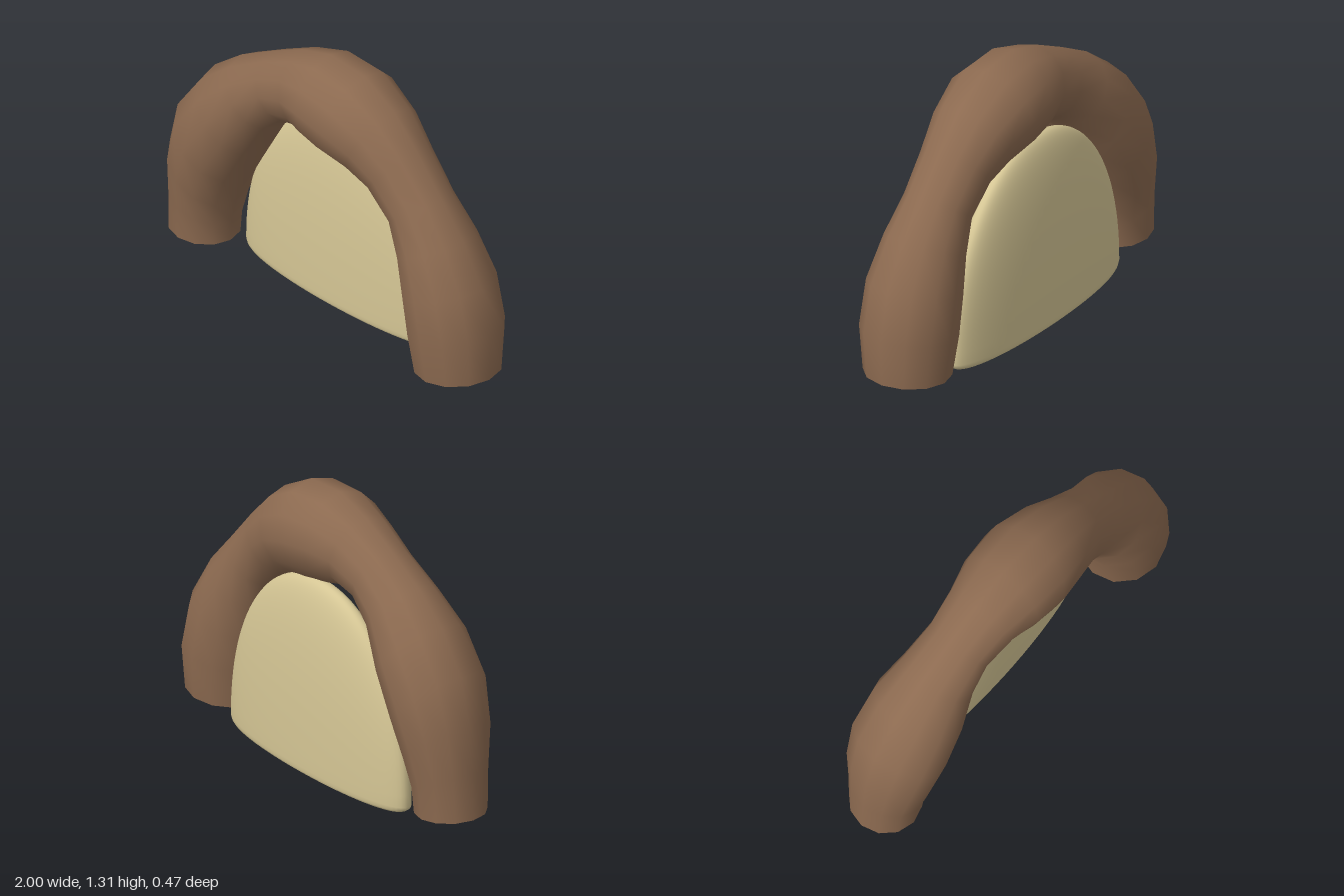
import * as THREE from 'three';
import { mergeVertices } from 'three/addons/utils/BufferGeometryUtils.js';

// Outer and inner edge points of each ring along the arch: [outerX, outerY, innerX, innerY]
const RINGS = [
  [-1.0, 0.06, -0.67, 0.04], [-0.99, 0.28, -0.665, 0.14], [-0.97, 0.51, -0.64, 0.25],
  [-0.91, 0.73, -0.57, 0.41], [-0.77, 0.92, -0.46, 0.6], [-0.6, 1.05, -0.36, 0.78],
  [-0.4, 1.16, -0.26, 0.87], [-0.22, 1.25, -0.13, 0.9], [-0.03, 1.31, -0.04, 0.875],
  [0.19, 1.295, 0.05, 0.855], [0.38, 1.19, 0.2, 0.83], [0.53, 1.04, 0.3, 0.79],
  [0.68, 0.87, 0.42, 0.68], [0.82, 0.71, 0.48, 0.54], [0.94, 0.51, 0.52, 0.38],
  [0.995, 0.28, 0.55, 0.22], [0.985, 0.06, 0.585, 0.03],
];

// Open-ended tube of swelling, twelve-sided rings
function archGeometry() {
  const sides = 12, pos = [], idx = [];
  for (const [ox, oy, ix, iy] of RINGS) {
    const r = Math.hypot(ox - ix, oy - iy) / 2;
    for (let j = 0; j < sides; j++) {
      const a = (j / sides) * Math.PI * 2, c = Math.cos(a) / 2;
      pos.push((ox + ix) / 2 + (ox - ix) * c, (oy + iy) / 2 + (oy - iy) * c, r * Math.sin(a));
    }
  }
  for (let i = 0; i < RINGS.length - 1; i++) {
    for (let j = 0; j < sides; j++) {
      const k = (j + 1) % sides;
      const a = i * sides + j, b = i * sides + k, c = a + sides, d = b + sides;
      idx.push(a, b, c, b, d, c);
    }
  }
  const g = new THREE.BufferGeometry();
  g.setAttribute('position', new THREE.Float32BufferAttribute(pos, 3));
  g.setIndex(idx);
  g.computeVertexNormals();
  return g;
}

// Half-dome plate: a lathed dome flattened front to back, with a softly rounded base rim
function panelGeometry() {
  const w = 0.635, h = 0.91, depth = 0.125, steps = 28;
  const profile = [[0, 0], [w - 0.04, 0], [w - 0.022, 0.002], [w - 0.008, 0.012], [w, 0.03]];
  for (let i = 1; i <= steps; i++) {
    const t = (i / steps) * Math.PI / 2;
    const r = i === steps ? 0 : Math.pow(Math.cos(t), 0.95);
    profile.push([w * r, 0.03 + (h - 0.03) * Math.pow(Math.sin(t), 0.95)]);
  }
  const lathe = new THREE.LatheGeometry(profile.map(([x, y]) => new THREE.Vector2(x, y)), 64);
  lathe.deleteAttribute('uv');
  lathe.deleteAttribute('normal');
  const p = lathe.attributes.position;
  for (let i = 0; i < p.count; i++) {
    const s = p.getZ(i) / w;
    p.setZ(i, Math.sign(s) * depth * Math.pow(Math.abs(s), 0.88));
  }
  const g = mergeVertices(lathe, 1e-5);
  g.computeVertexNormals();
  return g;
}

export function createModel() {
  const model = new THREE.Group();
  model.name = 'archedDoorway';

  const brown = new THREE.MeshStandardMaterial({ color: 0x8c6a50, side: THREE.DoubleSide });
  brown.name = 'brown';
  const sand = new THREE.MeshStandardMaterial({ color: 0xd4c594 });
  sand.name = 'sand';

  const arch = new THREE.Mesh(archGeometry(), brown);
  arch.name = 'arch';

  const panel = new THREE.Mesh(panelGeometry(), sand);
  panel.name = 'backPanel';
  panel.position.set(-0.03, 0, -0.11);

  model.add(arch, panel);
  return model;
}
